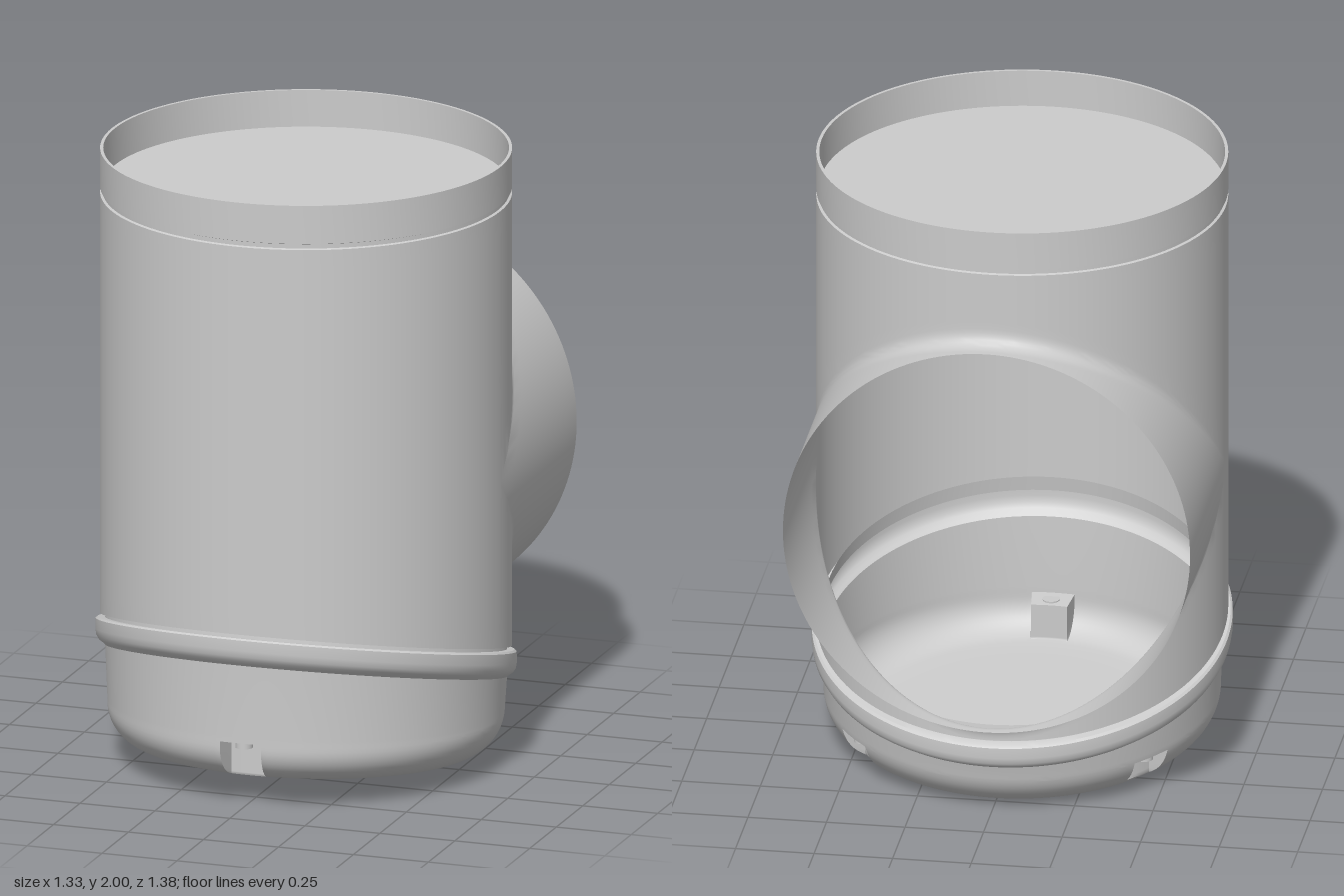
import * as THREE from 'three';
import { mergeGeometries, toCreasedNormals } from 'three/addons/utils/BufferGeometryUtils.js';

const R = 0.648;        // pipe radius, shared by body and branch
const CZ = 0.03;        // z of the upright axis
const YC = 0.965;       // height of the branch axis
const BRANCH_END = -0.72; // measured from the upright axis
const NECK = 1.855;     // top of the body, at the groove

const seam = z => 0.402 + 0.25 * z;  // tilted joint between body and bowl
const base = z => 0.04 + 0.09 * z;   // slightly tilted floor

// Sheet of quads; point(i, j) gives [x, y, z], j runs downwards
function sheet(columns, rows, point) {
  const positions = [], index = [];
  for (let i = 0; i < columns; i++)
    for (let j = 0; j < rows; j++) {
      positions.push(...point(i, j));
      if (i && j) {
        const d = i * rows + j, c = d - 1, b = d - rows, a = b - 1;
        index.push(a, b, d, a, d, c);
      }
    }
  const g = new THREE.BufferGeometry();
  g.setAttribute('position', new THREE.Float32BufferAttribute(positions, 3));
  g.setIndex(index);
  return g;
}

// Upright pipe and equal-sized rear branch, joined by a small fillet
function bodyGeometry() {
  const N = 81, ROWS = 24;
  const front = sheet(N, ROWS, (i, j) => {
    const a = -Math.PI / 2 + Math.PI * i / (N - 1);
    const z = CZ + R * Math.cos(a);
    return [R * Math.sin(a), THREE.MathUtils.lerp(NECK, seam(z) + 0.012, j / (ROWS - 1)), z];
  });
  const side = (sign) => sheet(N, ROWS, (i, jj) => {
    const j = sign > 0 ? jj : ROWS - 1 - jj;
    const al = Math.PI * i / (N - 1);
    const x = R * Math.cos(al), s = R * Math.sin(al), f = 0.055 * Math.sin(al);
    const end = sign > 0 ? NECK : seam(CZ - s) + 0.012;
    const edge = YC + sign * (s + f);
    if (j < 8) return [x, THREE.MathUtils.lerp(end, edge, j / 8), CZ - s];
    if (j <= 16) {
      const t = (j - 8) / 8;
      return [x, YC + sign * (s + f * (1 - t) ** 2), CZ - s - f * t * t];
    }
    return [x, YC + sign * s, CZ + THREE.MathUtils.lerp(-s - f, BRANCH_END, (j - 16) / 7)];
  });
  return toCreasedNormals(mergeGeometries([front, side(1), side(-1)]), 0.7);
}

// Bowl: rim bead, tapered wall, rounded corner, floor and three notches
const NOTCHES = [0, 130, 230].map(THREE.MathUtils.degToRad);
const NOTCH_TOP = 0.12, NOTCH_HALF = 0.108;

function bowlGeometry() {
  const rim = [[0.625, 0.05], [0.632, 0], [0.655, 0], [0.662, -0.006], [0.663, -0.04],
    [0.66, -0.06], [0.652, -0.074], [0.64, -0.083], [0.632, -0.09]];
  const heights = [0.14, 0.13, 0.121, 0.119, 0.105, 0.09, 0.075, 0.06, 0.047, 0.035, 0.025,
    0.017, 0.01, 0.005, 0.002, 0];
  const floor = [0.85, 0.6, 0.3, 0];
  const angles = [];
  for (let i = 0; i <= 180; i++) angles.push(i / 180 * Math.PI * 2);
  for (const n of NOTCHES)
    for (const o of [-0.11, -0.106, 0.106, 0.11])
      angles.push((n + o + Math.PI * 2) % (Math.PI * 2));
  angles.sort((a, b) => a - b);

  const g = sheet(angles.length, rim.length + heights.length + floor.length, (i, j) => {
    const a = angles[i], cos = Math.cos(a), wall = 0.625;
    const corner = 0.135 - 0.033 * cos;
    const at = (r, y) => [r * Math.sin(a), y(CZ + r * cos), CZ + r * cos];
    if (j < rim.length) return at(rim[j][0], z => seam(z) + rim[j][1]);
    const k = j - rim.length;
    if (k >= heights.length) return at((wall - corner) * floor[k - heights.length], base);
    const h = heights[k], d = Math.max(corner - h, 0);
    let r = wall - corner + Math.sqrt(corner * corner - d * d);
    const inNotch = NOTCHES.some(n =>
      Math.abs(Math.atan2(Math.sin(a - n), Math.cos(a - n))) < NOTCH_HALF);
    if (inNotch && h < NOTCH_TOP) r = Math.min(r, 0.545);
    return at(r, z => base(z) + h);
  });
  return toCreasedNormals(g, 0.6);
}

// Lathe around the upright axis with crisp corners
function lathe(points) {
  const g = new THREE.LatheGeometry(points.map(p => new THREE.Vector2(...p)), 128);
  return toCreasedNormals(g, 0.6).translate(0, 0, CZ);
}

export function createModel() {
  const model = new THREE.Group();
  const material = new THREE.MeshStandardMaterial({ color: 0xcccccc, side: THREE.DoubleSide });
  const add = (name, geometry) => {
    const mesh = new THREE.Mesh(geometry, material);
    mesh.name = name;
    model.add(mesh);
    return mesh;
  };

  add('teeBody', bodyGeometry());
  add('bottomBowl', bowlGeometry());

  // Top collar above a narrow groove
  add('topCollar', lathe([[R, NECK], [0.64, NECK + 0.003], [0.64, 1.872], [R, 1.875],
    [R, 2], [0.638, 2], [0.638, 1.88]]));
  // Closing disc with a short lip beneath
  add('topDisc', lathe([[0.632, 1.82], [0.638, 1.88], [0, 1.88]]));

  // Screw heads under the notch ledges
  for (const n of NOTCHES) {
    const z = CZ + 0.585 * Math.cos(n);
    const screw = add('notchScrew', new THREE.CylinderGeometry(0.028, 0.028, 0.02, 20));
    screw.position.set(0.585 * Math.sin(n), base(z) + NOTCH_TOP - 0.008, z);
  }
  return model;
}
